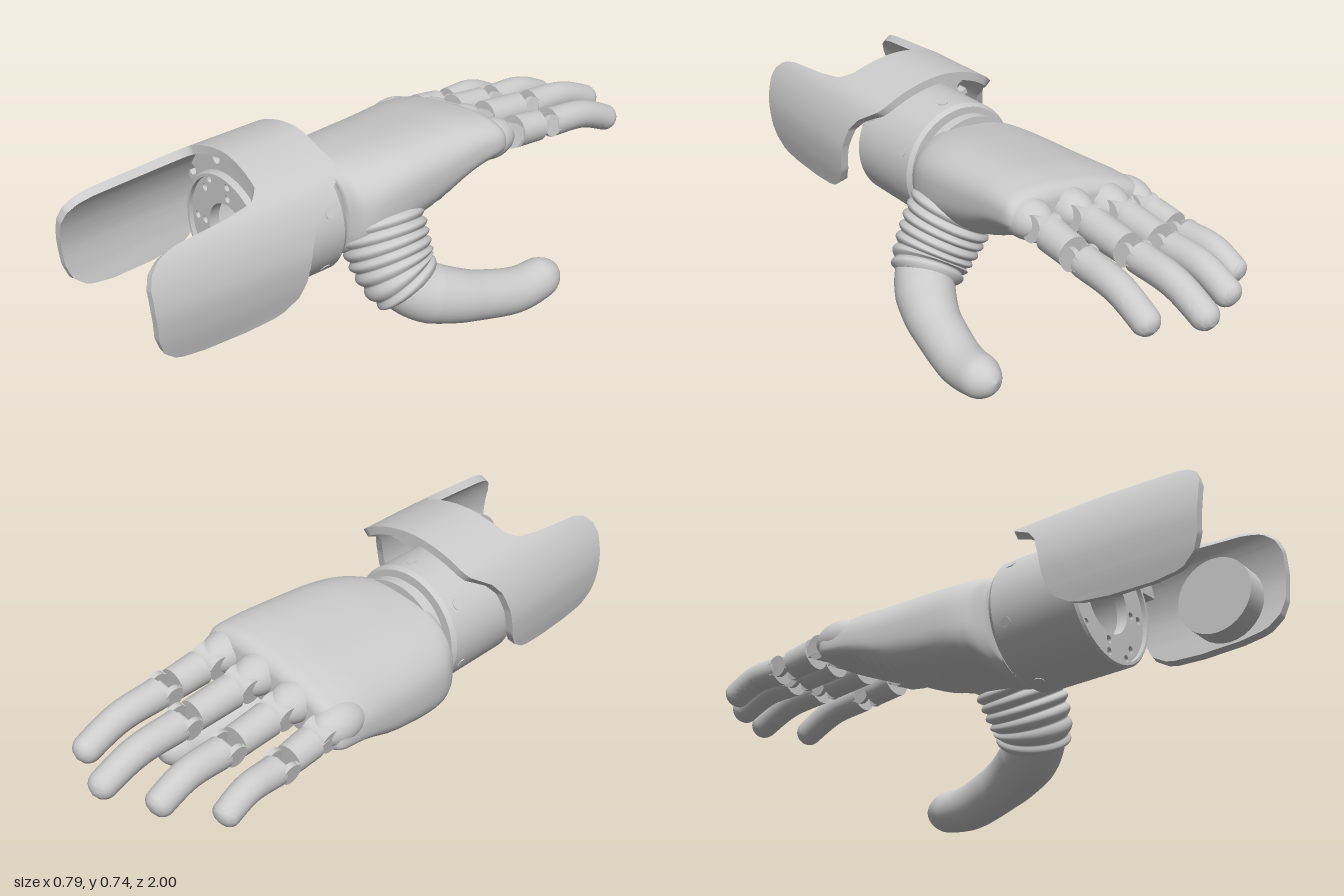
import * as THREE from 'three';
import { toCreasedNormals } from 'three/addons/utils/BufferGeometryUtils.js';

const V = (x, y, z) => new THREE.Vector3(x, y, z);
const material = new THREE.MeshStandardMaterial({ color: 0xcccccc });
const DRUM = { x: -0.09, y: 0.43 };
const TILT = V(Math.cos(0.2), Math.sin(0.2), 0); // knuckle axis

function add(parent, name, geometry, position) {
  const mesh = new THREE.Mesh(geometry, material);
  mesh.name = name;
  if (position) mesh.position.copy(position);
  parent.add(mesh);
  return mesh;
}

// Linear lookup in a table of rows [key, value, value...]
function lookup(table, key) {
  let i = 0;
  while (i < table.length - 2 && key > table[i + 1][0]) i++;
  const a = table[i], b = table[i + 1];
  const t = THREE.MathUtils.clamp((key - a[0]) / (b[0] - a[0]), 0, 1);
  return a.slice(1).map((v, k) => v + (b[k + 1] - v) * t);
}

// Lookup averaged over a small span, for soft transitions
function softLookup(table, key, span) {
  const samples = [-1, -0.67, -0.33, 0, 0.33, 0.67, 1].map((d) => lookup(table, key + d * span));
  return samples[0].map((_, k) => samples.reduce((s, v) => s + v[k], 0) / samples.length);
}

// Closed skin over rings of points, capped at both ends
function skin(rings, crease) {
  const n = rings[0].length, pts = rings.flat(), index = [];
  for (let i = 0; i < rings.length - 1; i++) {
    for (let j = 0; j < n; j++) {
      const k = (j + 1) % n, a = i * n + j, b = i * n + k;
      index.push(a, b, b + n, a, b + n, a + n);
    }
  }
  const centre = (ring) => ring.reduce((s, p) => s.add(p), V(0, 0, 0)).divideScalar(n);
  const first = pts.length, last = first + 1, off = (rings.length - 1) * n;
  const all = [...pts, centre(rings[0]), centre(rings[rings.length - 1])];
  for (let j = 0; j < n; j++) {
    const k = (j + 1) % n;
    index.push(first, k, j, last, off + j, off + k);
  }
  const g = new THREE.BufferGeometry().setFromPoints(all);
  g.setIndex(index);
  g.computeVertexNormals();
  return crease ? toCreasedNormals(g, crease) : g;
}

// Tube with a radius that varies along the path
function sweep(points, radius, steps, crease, sides = 24) {
  const curve = new THREE.CatmullRomCurve3(points);
  const f = curve.computeFrenetFrames(steps, false), rings = [];
  for (let i = 0; i <= steps; i++) {
    const p = curve.getPointAt(i / steps), r = radius(i / steps), ring = [];
    for (let j = 0; j < sides; j++) {
      const a = (j / sides) * Math.PI * 2;
      ring.push(p.clone().addScaledVector(f.normals[i], r * Math.cos(a)).addScaledVector(f.binormals[i], r * Math.sin(a)));
    }
    rings.push(ring);
  }
  return skin(rings, crease);
}

const roundTip = (u, start) => (u < start ? 1 : Math.sqrt(Math.max(0.001, 1 - ((u - start) / (1 - start)) ** 2)));

function disc(parent, name, p, axis, r, length) {
  const m = add(parent, name, new THREE.CylinderGeometry(r, r, length, 32), p);
  m.quaternion.setFromUnitVectors(V(0, 1, 0), axis.clone().normalize());
}

function circleHole(shape, x, y, r) {
  shape.holes.push(new THREE.Path().absarc(x, y, r, 0, Math.PI * 2, true));
}

function buildPalm(g) {
  // z, centre x, half width, centre y, top, bottom, slope
  const table = [
    [-0.375, -0.105, 0.25, 0.487, 0.065, 0.05, 0.2], [-0.365, -0.105, 0.28, 0.487, 0.09, 0.062, 0.2],
    [-0.34, -0.105, 0.288, 0.487, 0.11, 0.072, 0.2], [-0.25, -0.105, 0.285, 0.48, 0.13, 0.085, 0.2],
    [-0.1, -0.1, 0.28, 0.455, 0.155, 0.142, 0.2], [0.05, -0.098, 0.277, 0.44, 0.165, 0.165, 0.18],
    [0.15, -0.1, 0.268, 0.43, 0.165, 0.168, 0.15], [0.21, -0.1, 0.238, 0.42, 0.168, 0.16, 0.1],
    [0.24, -0.09, 0.17, 0.42, 0.155, 0.135, 0.1],
  ];
  const rings = [], rows = 90, power = 2 / 2.6;
  for (let i = 0; i <= rows; i++) {
    const z = 0.235 - (0.61 * i) / rows;
    const [cx, w, cy, top, bottom, slope] = softLookup(table, z, 0.04 * Math.min(1, (z + 0.38) * 8, (0.245 - z) * 8)), ring = [];
    for (let j = 0; j < 64; j++) {
      const a = (j / 64) * Math.PI * 2, c = Math.cos(a), s = -Math.sin(a);
      const x = w * Math.sign(c) * Math.abs(c) ** power;
      // grip grooves on the underside
      const groove = s < -0.5 && z < -0.08 && z > -0.32 ? 0.004 * Math.sin((z + 0.08) * 157) : 0;
      const h = s > 0 ? top : bottom + groove;
      ring.push(V(cx + x, cy + h * Math.sign(s) * Math.abs(s) ** power + slope * x, z));
    }
    rings.push(ring);
  }
  add(g, 'palm', skin(rings));
}

function buildFinger(g, name, x, xTip, y, zBase, zJoint, zTip, drop, s) {
  const finger = new THREE.Group();
  finger.name = name;
  g.add(finger);
  const base = V(x, y, zBase), joint = V(x + (xTip - x) * 0.4, y - 0.02, zJoint);
  const dir = joint.clone().sub(base).normalize();
  const along = (p, d, side = 0) => p.clone().addScaledVector(dir, d).addScaledVector(TILT, side);
  // rounded hood on the palm and hinge barrel
  add(finger, 'knuckleHood', new THREE.SphereGeometry(1, 28, 18).scale(0.071 * s, 0.066, 0.1), V(x, y + 0.006, zBase + 0.072));
  disc(finger, 'knuckleBarrel', base, TILT, 0.042 * s, 0.092 * s);
  const start = along(base, 0.045), end = along(joint, -0.032);
  add(finger, 'lowerSegment', sweep([start, start.clone().lerp(end, 0.5), end], (u) => (0.055 - 0.004 * u) * s, 6, 0.6));
  for (const side of [-0.038 * s, 0.038 * s]) {
    for (const [p, a, b] of [[base, 0, 0.06], [joint, -0.05, 0.04]]) {
      const link = add(finger, 'hingeLink', new THREE.BoxGeometry(0.016, 0.04 * s, b - a), along(p, (a + b) / 2, side));
      link.up.set(-TILT.y, TILT.x, 0);
      link.lookAt(along(p, b, side));
    }
    disc(finger, 'hingeEye', along(joint, 0, side), TILT, 0.036 * s, 0.018);
  }
  disc(finger, 'hingePin', joint, TILT, 0.013, 0.09 * s);
  // curved fingertip
  const from = along(joint, 0.022), tip = V(xTip, y - drop, zTip);
  const mid = from.clone().lerp(tip, 0.5);
  mid.y += 0.024;
  add(finger, 'fingertip', sweep([from, mid, tip], (u) => (0.05 - 0.006 * u) * s * roundTip(u, 0.87), 40, 0.7));
}

function buildThumb(g) {
  const ribs = 7;
  add(g, 'thumbBellows', sweep([V(0.06, 0.39, 0.08), V(0.115, 0.295, 0.085), V(0.16, 0.225, 0.08), V(0.195, 0.18, 0.06)],
    (u) => 0.14 - 0.03 * u * u + 0.007 * (Math.abs(Math.sin(u * Math.PI * ribs)) * 2 - 1), 98, 0, 40));
  const radii = [[0, 0.096], [0.2, 0.098], [0.45, 0.083], [0.7, 0.077], [0.9, 0.069], [1, 0.06]];
  add(g, 'thumb', sweep([V(0.17, 0.217, 0.09), V(0.214, 0.17, 0.04), V(0.265, 0.127, -0.07), V(0.292, 0.098, -0.18),
    V(0.313, 0.077, -0.3), V(0.32, 0.085, -0.4), V(0.315, 0.096, -0.475)],
    (u) => lookup(radii, u)[0] * roundTip(u, 0.87), 70, 0, 36));
  const seam = add(g, 'thumbSeam', new THREE.TorusGeometry(0.085, 0.004, 8, 40), V(0.266, 0.125, -0.075));
  seam.lookAt(V(0.292, 0.098, -0.18));
}

function buildWrist(g) {
  // cup-shaped drum
  const profile = [[0, 0.2], [0.185, 0.2], [0.185, 0.235], [0.172, 0.235], [0.172, 0.25], [0.202, 0.25], [0.212, 0.265],
    [0.212, 0.552], [0.205, 0.56], [0.196, 0.56], [0.196, 0.28], [0, 0.28]].map((p) => new THREE.Vector2(...p));
  const drum = toCreasedNormals(new THREE.LatheGeometry(profile, 72).rotateX(Math.PI / 2), 0.5);
  add(g, 'wristDrum', drum, V(DRUM.x, DRUM.y, 0));
  // drilled mounting plate
  const plate = new THREE.Shape().absarc(0, 0, 0.198, 0, Math.PI * 2);
  circleHole(plate, 0, 0, 0.105);
  for (let i = 0; i < 8; i++) {
    const a = (i * Math.PI) / 4, c = Math.cos(a), s = Math.sin(a);
    circleHole(plate, 0.168 * c, 0.168 * s, 0.012);
    if (i % 2 === 0) circleHole(plate, 0.128 * c, 0.128 * s, 0.012);
  }
  for (const a of [1.06, 2.1, 4.2, 5.24]) circleHole(plate, 0.183 * Math.cos(a), 0.183 * Math.sin(a), 0.011);
  add(g, 'mountingPlate', new THREE.ExtrudeGeometry(plate, { depth: 0.035, bevelEnabled: false, curveSegments: 40 }), V(DRUM.x, DRUM.y, 0.51));
  const block = add(g, 'connectorBlock', new THREE.BoxGeometry(0.07, 0.07, 0.06), V(DRUM.x, DRUM.y, 0.3));
  block.rotation.z = 0.35;
  for (let i = 0; i < 6; i++) {
    const a = 0.38 + (i * Math.PI) / 3, d = V(Math.cos(a), Math.sin(a), 0);
    disc(g, 'drumScrew', d.clone().multiplyScalar(0.208).add(V(DRUM.x, DRUM.y, 0.31)), d, 0.017, 0.012);
  }
}

function buildCuff(g) {
  const arch = new THREE.SplineCurve([[0.208, 0.3], [0.23, 0.4], [0.235, 0.5], [0.21, 0.6], [0.16, 0.67], [0.06, 0.72], [-0.06, 0.74],
    [-0.18, 0.717], [-0.27, 0.665], [-0.325, 0.58], [-0.35, 0.48], [-0.345, 0.38], [-0.328, 0.3]].map((p) => new THREE.Vector2(...p)));
  // height, rear edge, front edge
  const edges = [[0.3, 0.7, 0.84], [0.303, 0.63, 0.89], [0.315, 0.575, 0.935], [0.35, 0.52, 0.975], [0.4, 0.495, 0.993], [0.5, 0.475, 1],
    [0.57, 0.45, 1], [0.61, 0.415, 0.985], [0.64, 0.365, 0.95], [0.655, 0.34, 0.9], [0.668, 0.33, 0.72], [0.68, 0.323, 0.62],
    [0.7, 0.318, 0.583], [0.74, 0.31, 0.57]];
  const inset = (u, d) => {
    const p = arch.getPointAt(u), t = arch.getTangentAt(u);
    return new THREE.Vector2(p.x - t.y * d, p.y + t.x * d);
  };
  // arms lean inward toward their front ends
  const lean = (p, z) => V(-0.058 + (p.x + 0.058) * (1 - 0.2 * Math.max(0, z - 0.6)), p.y, z);
  const rings = [];
  for (let i = 0; i <= 140; i++) {
    const u = i / 140, o = inset(u, 0), n = inset(u, 0.028);
    const [rear, front] = lookup(edges, o.y), mid = (rear + front) / 2;
    rings.push([lean(o, front), lean(o, mid), lean(o, rear), lean(n, rear), lean(n, mid), lean(n, front)]);
  }
  add(g, 'forearmCuff', skin(rings, 0.6));
  // crescent flange joining drum and cuff
  const rim = [];
  for (let i = 0; i <= 80; i++) {
    const p = inset(i / 80, 0.014);
    if (p.y > 0.545) rim.push(p);
  }
  const flange = new THREE.Shape(rim);
  flange.absarc(DRUM.x, DRUM.y, 0.205, 2.6, 0.6, true);
  for (const [x, y] of [[-0.145, 0.675], [0.08, 0.62], [-0.28, 0.58]]) circleHole(flange, x, y, 0.019);
  add(g, 'cuffFlange', new THREE.ExtrudeGeometry(flange, { depth: 0.035, bevelEnabled: false, curveSegments: 32 }), V(0, 0, 0.505));
  // round knob inside one arm
  const X = V(1, 0, 0);
  disc(g, 'armKnob', V(0.12, 0.432, 0.812), X, 0.124, 0.08);
  disc(g, 'knobBoss', V(0.173, 0.432, 0.812), X, 0.098, 0.03);
  disc(g, 'knobPin', V(0.195, 0.432, 0.812), X, 0.055, 0.03);
}

export function createModel() {
  const g = new THREE.Group();
  g.name = 'prostheticHand';
  buildPalm(g);
  buildFinger(g, 'littleFinger', -0.328, -0.343, 0.455, -0.385, -0.555, -0.805, 0.075, 0.95);
  buildFinger(g, 'ringFinger', -0.193, -0.197, 0.49, -0.425, -0.635, -0.925, 0.085, 1);
  buildFinger(g, 'middleFinger', -0.045, -0.035, 0.52, -0.43, -0.66, -1, 0.1, 1);
  buildFinger(g, 'indexFinger', 0.105, 0.123, 0.53, -0.42, -0.6, -0.93, 0.105, 1);
  buildThumb(g);
  buildWrist(g);
  buildCuff(g);
  return g;
}
